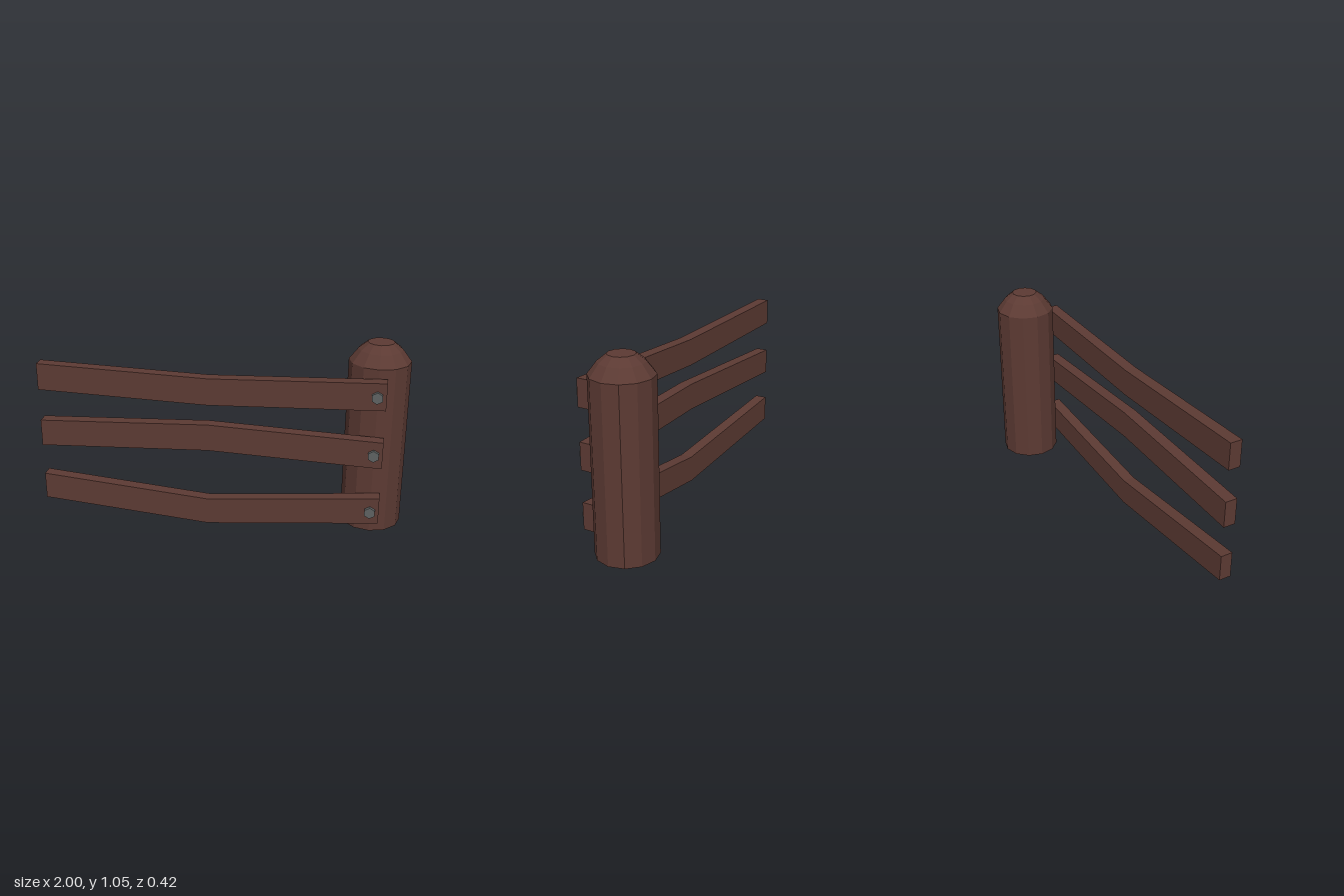
import * as THREE from 'three';

const wood = new THREE.MeshStandardMaterial({ color: 0x5c3a33, flatShading: true });
const steel = new THREE.MeshStandardMaterial({ color: 0x5e6262, flatShading: true });

const POST_X = 0.832, POST_Z = -0.043;
const RAIL_BACK = 0.125, RAIL_DEPTH = 0.068, RAIL_HEIGHT = 0.15;
const LEFT_END = -1, BEND = -0.06, RIGHT_END = 0.877;

// Twelve-sided post with a chamfered dome top
function makePost() {
  const profile = [
    [0, 0], [0.166, 0.003], [0.166, 0.945], [0.118, 1.008], [0.071, 1.046], [0, 1.046],
  ].map(([r, y]) => new THREE.Vector2(r, y));
  const post = new THREE.Mesh(new THREE.LatheGeometry(profile, 12), wood);
  post.position.set(POST_X, 0, POST_Z);
  post.name = 'post';
  return post;
}

// Plank bent at one point; endY and bendY are heights of its lower edge
function makeRail(name, endY, bendY) {
  const shape = new THREE.Shape([
    [LEFT_END, endY], [BEND, bendY], [RIGHT_END, endY],
    [RIGHT_END, endY + RAIL_HEIGHT], [BEND, bendY + RAIL_HEIGHT], [LEFT_END, endY + RAIL_HEIGHT],
  ].map(([x, y]) => new THREE.Vector2(x, y)));
  const geometry = new THREE.ExtrudeGeometry(shape, { depth: RAIL_DEPTH, bevelEnabled: false });
  const rail = new THREE.Mesh(geometry, wood);
  rail.position.z = RAIL_BACK;
  rail.name = name;
  return rail;
}

// Hexagonal bolt head on the front of a rail, a corner pointing up
function makeBolt(name, y) {
  const geometry = new THREE.CylinderGeometry(0.032, 0.032, 0.03, 6).rotateX(Math.PI / 2);
  const bolt = new THREE.Mesh(geometry, steel);
  bolt.position.set(POST_X - 0.003, y, RAIL_BACK + RAIL_DEPTH + 0.005);
  bolt.name = name;
  return bolt;
}

export function createModel() {
  const fence = new THREE.Group();
  fence.name = 'fence';
  fence.add(makePost());
  const rails = [
    ['top', 0.748, 0.718, 0.821],
    ['middle', 0.417, 0.454, 0.493],
    ['bottom', 0.09, 0.007, 0.157],
  ];
  for (const [name, endY, bendY, boltY] of rails) {
    fence.add(makeRail(`${name}Rail`, endY, bendY), makeBolt(`${name}Bolt`, boltY));
  }
  return fence;
}
